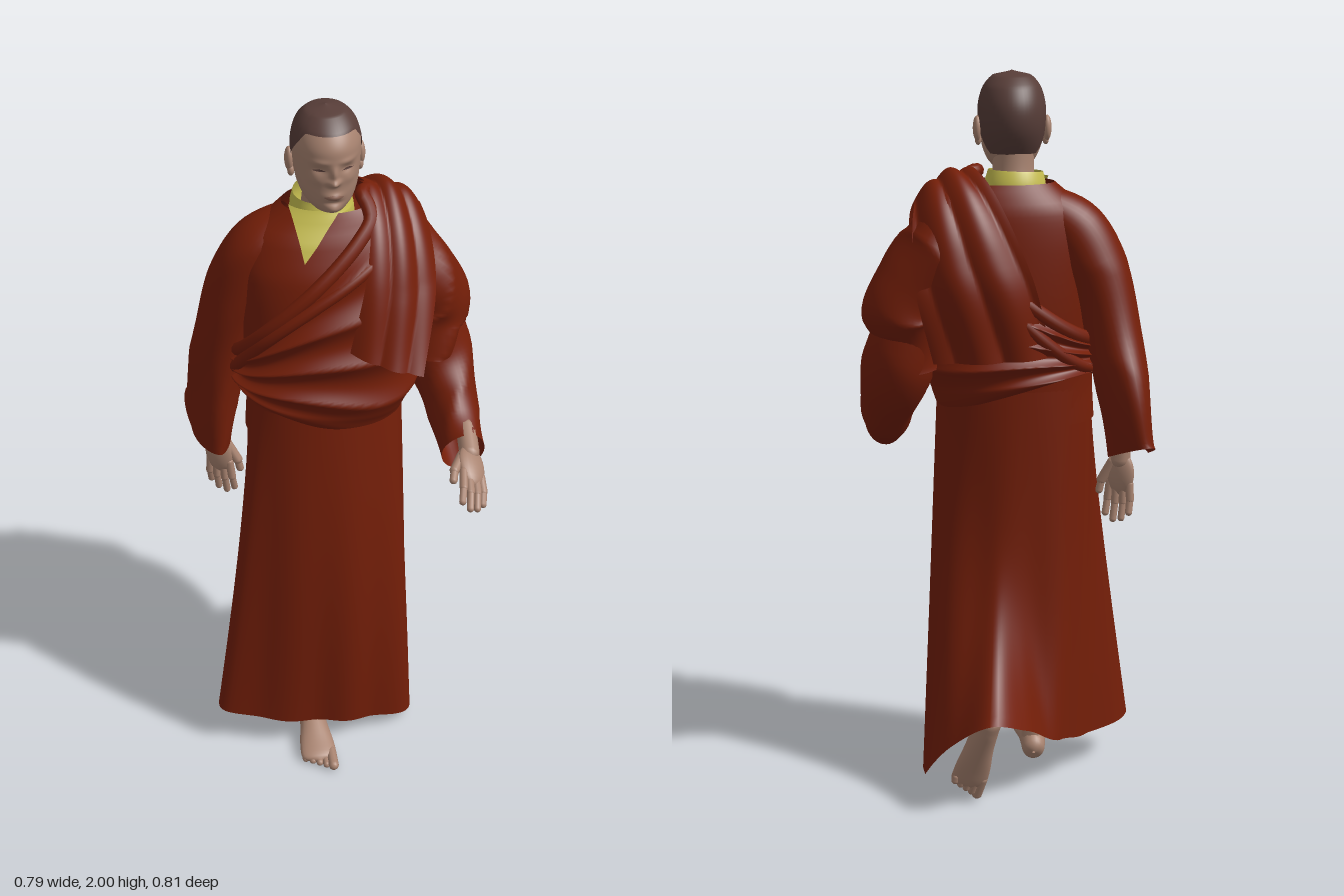
import * as THREE from 'three';

const mat = (name, color) => new THREE.MeshStandardMaterial({ name, color, side: THREE.DoubleSide });
const robe = mat('maroon cloth', 0x731e08), skin = mat('skin', 0xa88370), hair = mat('shaved hair', 0x573d38);
const yellow = mat('yellow undershirt', 0xc6bd50), lip = mat('lips', 0x936b5b);
const { sin, cos, PI, abs } = Math;
const V = (x, y, z) => new THREE.Vector3(x, y, z);

function add(parent, name, geo, material) {
  const m = new THREE.Mesh(geo, material);
  m.name = name;
  parent.add(m);
  return m;
}

// Grid surface from a rule fn(u, v) -> Vector3; closed wraps u
function surface(fn, nu, nv, closed = true) {
  const pos = [], idx = [], w = closed ? nu : nu + 1;
  for (let j = 0; j <= nv; j++)
    for (let i = 0; i < w; i++) pos.push(...fn(i / nu, j / nv).toArray());
  for (let j = 0; j < nv; j++)
    for (let i = 0; i < nu; i++) {
      const a = j * w + i, b = j * w + (i + 1) % w;
      idx.push(a, b, b + w, a, b + w, a + w);
    }
  const g = new THREE.BufferGeometry();
  g.setAttribute('position', new THREE.Float32BufferAttribute(pos, 3));
  g.setIndex(idx);
  g.computeVertexNormals();
  return g;
}

// Smooth interpolation of table rows at fractional index f
function rowAt(rows, f) {
  const n = rows.length - 1, i = Math.min(Math.floor(f), n - 1), t = f - i;
  const r = k => rows[Math.max(0, Math.min(n, k))];
  return rows[0].map((_, c) => {
    const [p, q, s, e] = [r(i - 1)[c], r(i)[c], r(i + 1)[c], r(i + 2)[c]];
    return q + 0.5 * t * (s - p + t * (2 * p - 5 * q + 4 * s - e + t * (3 * (q - s) + e - p)));
  });
}

// Rows keyed by falling height: [y, xMin, xMax, zFront, zBack] -> point at angle a (0 = front, +90 = left)
function ringPoint(rows, a, y, out = 0) {
  let i = 0;
  while (i < rows.length - 2 && y < rows[i + 1][0]) i++;
  const t = Math.max(0, Math.min(1, (rows[i][0] - y) / (rows[i][0] - rows[i + 1][0])));
  const [, x0, x1, zf, zb] = rowAt(rows, i + t);
  return V((x0 + x1) / 2 + ((x1 - x0) / 2 + out) * sin(a), y, (zf + zb) / 2 + ((zf - zb) / 2 + out) * cos(a));
}

// Angle on a ring at which x is reached, on the front half
function angleAt(rows, x, y) {
  const side = ringPoint(rows, PI / 2, y).x, mid = ringPoint(rows, 0, y).x;
  return Math.asin(Math.max(-1, Math.min(1, (x - mid) / (side - mid))));
}

// Tube with elliptical sections: rows of [x, y, z, radiusAcross, radiusDepth]
function sweep(rows, { nu = 40, nv = 36, fold = 0, shape = p => p } = {}) {
  const n = rows.length - 1, at = f => rowAt(rows, Math.max(0, Math.min(n, f)));
  return surface((u, v) => {
    const [x, y, z, r1, r2] = at(v * n), a = u * 2 * PI;
    const T = V(...at(v * n + 0.05)).sub(V(...at(v * n - 0.05))).normalize();
    const S = V(1, 0, 0).addScaledVector(T, -T.x).normalize(), O = T.clone().cross(S);
    const k = 1 + fold * (1 - 2 * abs(sin(v * 9 + 1.5 * sin(a) + a)));
    return shape(V(x, y, z).addScaledVector(S, r1 * k * sin(a)).addScaledVector(O, r2 * k * cos(a)), a, v);
  }, nu, nv);
}

// Rounded limb from p to q
function limb(parent, name, p, q, r, material = skin) {
  const a = V(...p), b = V(...q), d = b.clone().sub(a);
  const m = add(parent, name, new THREE.CapsuleGeometry(r, d.length(), 5, 10), material);
  m.position.copy(a).add(b).multiplyScalar(0.5);
  m.quaternion.setFromUnitVectors(V(0, 1, 0), d.normalize());
}

function blob(parent, name, p, s) {
  const m = add(parent, name, new THREE.SphereGeometry(1, 20, 14), skin);
  m.position.set(...p);
  m.scale.set(...s);
}

const BODY = [[1.74, -0.11, 0.06, 0.01, -0.14], [1.70, -0.15, 0.14, 0.03, -0.16], [1.64, -0.22, 0.19, 0.065, -0.18],
  [1.55, -0.255, 0.22, 0.105, -0.188], [1.42, -0.26, 0.22, 0.13, -0.19], [1.3, -0.255, 0.21, 0.14, -0.185],
  [1.15, -0.25, 0.18, 0.14, -0.17], [1.05, -0.255, 0.165, 0.135, -0.165]];
const HEAD = [[2.0, -0.025, -0.025, -0.028, -0.028], [1.988, -0.075, 0.025, 0.025, -0.08], [1.96, -0.1, 0.05, 0.062, -0.116],
  [1.92, -0.112, 0.062, 0.085, -0.137], [1.88, -0.114, 0.064, 0.087, -0.142], [1.84, -0.111, 0.061, 0.084, -0.134],
  [1.8, -0.104, 0.054, 0.082, -0.112], [1.765, -0.09, 0.04, 0.078, -0.085], [1.74, -0.068, 0.018, 0.066, -0.05],
  [1.725, -0.035, -0.015, 0.04, 0]];

// Face relief: [x offset, y, width, height, depth], mirrored about the nose
const RELIEF = [[0, 1.857, 0.009, 0.022, 0.01], [0, 1.833, 0.014, 0.009, 0.017], [0.036, 1.868, 0.017, 0.011, -0.008],
  [0.036, 1.89, 0.025, 0.008, 0.004], [0.045, 1.838, 0.02, 0.015, 0.004], [0, 1.792, 0.022, 0.01, 0.009],
  [0, 1.772, 0.02, 0.006, -0.004], [0, 1.752, 0.022, 0.013, 0.01]];
function facePoint(a, y, out = 0) {
  const p = ringPoint(HEAD, a, y, out), x = abs(p.x + 0.025);
  if (cos(a) > 0)
    for (const [bx, by, w, h, d] of RELIEF) p.z += d * Math.exp(-(((x - bx) / w) ** 2) - ((y - by) / h) ** 2);
  return p;
}

// Hand hanging along -y, thumb toward side * x
function hand(name, side) {
  const g = new THREE.Group();
  g.name = name;
  limb(g, 'wrist', [0, 0.06, 0], [0, -0.02, 0], 0.028);
  blob(g, 'palm', [0, -0.062, 0], [0.042, 0.064, 0.02]);
  [0.031, 0.011, -0.01, -0.029].forEach((x, i) => {
    const len = [0.08, 0.095, 0.088, 0.068][i];
    limb(g, 'finger', [side * x, -0.09, 0], [side * x * 1.15, -0.1 - len * 0.5, -0.003], 0.0115);
    limb(g, 'fingertip', [side * x * 1.15, -0.1 - len * 0.5, -0.003], [side * x * 1.2, -0.1 - len, -0.013], 0.01);
  });
  limb(g, 'thumb', [side * 0.022, -0.03, -0.006], [side * 0.05, -0.085, -0.014], 0.014);
  limb(g, 'thumbTip', [side * 0.05, -0.085, -0.014], [side * 0.055, -0.115, -0.018], 0.011);
  return g;
}

// Foot with heel at the origin and toes toward +z
function foot(name, side) {
  const g = new THREE.Group();
  g.name = name;
  add(g, 'sole', sweep([[0, 0.03, 0, 0.004, 0.004], [0, 0.034, 0.012, 0.03, 0.032], [0, 0.045, 0.06, 0.036, 0.045],
    [0, 0.036, 0.13, 0.04, 0.036], [0, 0.024, 0.2, 0.05, 0.024], [0, 0.016, 0.25, 0.048, 0.016], [0, 0.014, 0.265, 0.01, 0.006]],
    { nu: 24, nv: 24 }), skin);
  for (let i = 0; i < 5; i++) {
    const x = side * (0.037 - i * 0.019), r = i ? 0.0105 : 0.015;
    limb(g, 'toe', [x, r + 0.003, 0.235], [x, r, 0.29 - i * 0.011], r);
  }
  limb(g, 'ankle', [0, 0.06, 0.05], [0, 0.15, 0.048], 0.034);
  return g;
}

export function createModel() {
  const model = new THREE.Group();
  model.name = 'robedWalkingFigure';

  // Head, hair and face
  const head = new THREE.Group();
  head.name = 'head';
  model.add(head);
  add(head, 'face', surface((u, v) => facePoint(u * 2 * PI, 1.725 + 0.275 * v), 120, 90), skin);
  add(head, 'hairCap', surface((u, v) => {
    const a = u * 2 * PI, c = cos(a);
    const line = c > 0 ? 1.87 + 0.085 * Math.min(1, c * 1.6) : 1.87 - 0.085 * Math.min(1, -c * 1.7);
    const p = ringPoint(HEAD, a, line + (2 - line) * (1 - (1 - v) ** 2), 0.003 * (1 - v));
    p.y += 0.003 * v;
    return p;
  }, 48, 28), hair);
  add(head, 'neck', sweep([[-0.027, 1.84, -0.045, 0.058, 0.06], [-0.027, 1.74, -0.05, 0.056, 0.058],
    [-0.027, 1.62, -0.06, 0.07, 0.07]]), skin);
  const facePatch = (name, x, y, w, h, material) => add(head, name, surface((u, v) => {
    const py = y + (v - 0.5) * h * sin(PI * u);
    return facePoint(angleAt(HEAD, x + (u - 0.5) * w, py), py, 0.0015);
  }, 16, 6, false), material);
  facePatch('mouth', -0.025, 1.791, 0.054, 0.017, lip);
  for (const s of [-1, 1]) {
    facePatch('eyeSlit', -0.025 + s * 0.037, 1.866, 0.032, 0.006, hair);
    blob(head, 'ear', [-0.025 + s * 0.094, 1.85, -0.04], [0.012, 0.034, 0.02]);
    blob(head, 'earLobe', [-0.025 + s * 0.091, 1.82, -0.032], [0.009, 0.016, 0.011]);
  }

  // Undershirt collar and its V at the throat
  add(model, 'collar', sweep([[-0.032, 1.74, -0.064, 0.074, 0.074], [-0.03, 1.7, -0.066, 0.084, 0.088],
    [-0.027, 1.66, -0.062, 0.085, 0.085]]), yellow);
  add(model, 'collarFront', surface((u, v) => {
    const y = 1.6 + 0.12 * v;
    return ringPoint(BODY, angleAt(BODY, -0.1 + v * (-0.018 + 0.12 * u), y), y, 0.007);
  }, 10, 12, false), yellow);

  // Upper robe
  add(model, 'upperRobe', surface((u, v) => ringPoint(BODY, u * 2 * PI, 1.05 + 0.66 * v), 64, 40), robe);

  // Skirt: waist ellipse blended down to a hem that lifts over the rear foot
  const hem = new THREE.CatmullRomCurve3([[-0.37, 0.12, 0.11], [-0.25, 0.1, 0.155], [-0.08, 0.08, 0.178], [0.06, 0.06, 0.17],
    [0.19, 0.03, 0.12], [0.222, 0.03, -0.04], [0.235, 0.07, -0.21], [0.165, 0.2, -0.325], [0.06, 0.285, -0.405],
    [-0.04, 0.24, -0.33], [-0.13, 0.16, -0.21], [-0.25, 0.12, -0.07], [-0.345, 0.12, 0.02]].map(p => V(...p)), true);
  add(model, 'skirt', surface((u, v) => {
    const h = hem.getPoint(u), a = Math.atan2(h.x + 0.05, h.z + 0.06), s = 1 - v;
    const w = ringPoint(BODY, a, 1.15), back = Math.max(0, -cos(a));
    const f = s ** (1 + 4 * back * back), r = 0.006 * s * sin(a * 9);
    return V(w.x + (h.x - w.x) * f + r * sin(a), w.y + (h.y - w.y) * s,
      w.z + (h.z - w.z) * f + r * cos(a) + 0.035 * Math.max(0, cos(a)) * sin(PI * s));
  }, 110, 44), robe);

  // Right sleeve, wide and flaring backwards at the cuff
  add(model, 'rightSleeve', sweep([[-0.1, 1.645, -0.07, 0.06, 0.07], [-0.195, 1.575, -0.075, 0.088, 0.095],
    [-0.26, 1.44, -0.09, 0.085, 0.1], [-0.298, 1.28, -0.115, 0.077, 0.11], [-0.322, 1.11, -0.145, 0.065, 0.142],
    [-0.335, 0.965, -0.15, 0.055, 0.14]], {
    fold: 0.03, shape: (p, a, v) => {
      p.y += 0.05 * v ** 5 * Math.max(0, -cos(a));
      p.x -= 0.03 * v ** 4 * Math.max(0, -cos(a));
      return p;
    },
  }), robe);

  // Left sleeve, bent at the elbow
  add(model, 'leftSleeve', sweep([[0.17, 1.55, -0.08, 0.08, 0.1], [0.25, 1.36, -0.08, 0.09, 0.1],
    [0.293, 1.2, -0.06, 0.098, 0.105], [0.315, 1.1, 0.01, 0.078, 0.1], [0.317, 1.045, 0.09, 0.066, 0.09],
    [0.317, 1.01, 0.175, 0.06, 0.082]], { fold: 0.03 }), robe);

  // Shawl wound from the left shoulder round the right waist
  const shawlTop = a => 1.51 + 0.21 * sin(a) + 0.085 * cos(a);
  add(model, 'shawlWrap', surface((u, v) => {
    const a = u * 2 * PI, top = shawlTop(a), low = 1.13 - 0.06 * sin(a) - 0.02 * cos(a);
    const crease = 1 - abs(sin(v * 13 + 0.9 * sin(a + 0.6) + 0.25 * sin(3 * a)));
    const edge = Math.min(1, 12 * v, 12 * (1 - v));
    return ringPoint(BODY, a, low + (top - low) * v, 0.004 + edge * (0.014 + 0.024 * crease));
  }, 110, 80), robe);

  // Rolled folds along the upper edge of the shawl
  [[0, 0.016, 0.02], [-0.055, 0.026, 0.017]].forEach(([dy, out, r]) => {
    const path = Array.from({ length: 24 }, (_, i) => {
      const a = i / 24 * 2 * PI;
      return ringPoint(BODY, a, shawlTop(a) + dy * (1 + 0.5 * sin(2 * a)), out);
    });
    add(model, 'shawlRoll', new THREE.TubeGeometry(new THREE.CatmullRomCurve3(path, true), 96, r, 10, true), robe);
  });

  // Shawl over the left upper arm, bulging above the elbow
  add(model, 'shawlShoulder', sweep([[0.06, 1.675, -0.07, 0.06, 0.075], [0.135, 1.63, -0.075, 0.09, 0.115],
    [0.18, 1.54, -0.08, 0.095, 0.135], [0.24, 1.45, -0.08, 0.11, 0.14], [0.272, 1.375, -0.075, 0.11, 0.13],
    [0.26, 1.31, -0.065, 0.1, 0.12], [0.255, 1.22, -0.05, 0.1, 0.11]], { fold: 0.07, nv: 56 }), robe);

  // Loose shawl end laid over the left shoulder, from a front corner to the back of the waist
  const [inner, outer] = [
    [[0, 1.37, 0.168], [0.05, 1.56, 0.125], [0.08, 1.69, 0.035], [0.085, 1.735, -0.06], [0.04, 1.69, -0.15],
      [-0.06, 1.48, -0.215], [-0.12, 1.25, -0.18]],
    [[0.185, 1.31, 0.218], [0.245, 1.5, 0.09], [0.25, 1.61, 0.0], [0.24, 1.66, -0.07], [0.25, 1.6, -0.14],
      [0.25, 1.46, -0.19], [0.2, 1.24, -0.175]],
  ].map(c => new THREE.CatmullRomCurve3(c.map(p => V(...p))));
  add(model, 'shawlEnd', surface((u, v) => {
    const p = inner.getPoint(v).lerp(outer.getPoint(v), u);
    const out = V(0, Math.max(0, p.y - 1.52), p.z + 0.05).normalize();
    return p.addScaledVector(out, (0.022 + 0.016 * v) * (sin(PI * u) + 0.5 * abs(sin(u * 8 + v * 3))));
  }, 48, 64, false), robe);

  // Hands
  const rightHand = hand('rightHand', 1), leftHand = hand('leftHand', -1);
  rightHand.position.set(-0.32, 0.965, -0.11);
  rightHand.rotation.set(-0.05, -0.6, 0);
  leftHand.position.set(0.32, 1.055, 0.215);
  leftHand.rotation.set(-1.13, 0.55, -0.12);
  model.add(rightHand, leftHand);

  // Legs and feet: right one planted, left one pushing off
  const rightFoot = foot('rightFoot', 1), leftFoot = foot('leftFoot', -1);
  rightFoot.position.set(-0.095, 0, 0.01);
  rightFoot.rotation.y = -0.05;
  leftFoot.position.set(0.055, 0.28, -0.375);
  leftFoot.rotation.set(1.15, 0.25, 0);
  model.add(rightFoot, leftFoot);
  limb(model, 'rightLeg', [-0.09, 0.15, 0.055], [-0.08, 0.8, 0], 0.04);
  limb(model, 'leftLeg', [0.07, 0.295, -0.22], [0.03, 0.62, 0.02], 0.04);
  return model;
}
